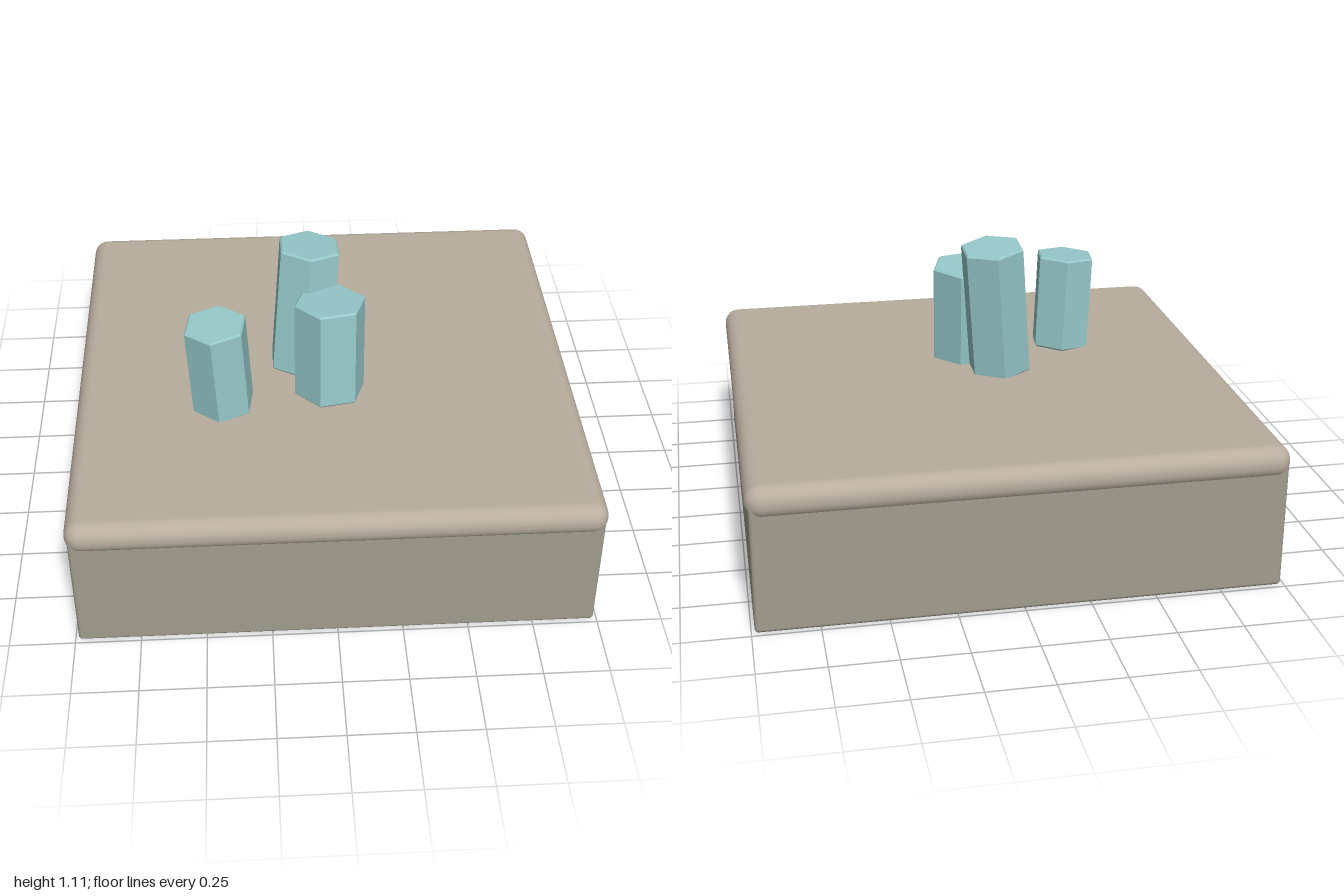
import * as THREE from 'three';
import { RoundedBoxGeometry } from 'three/addons/geometries/RoundedBoxGeometry.js';

const stone = new THREE.MeshStandardMaterial({ color: 0xa19c8d });
const capStone = new THREE.MeshStandardMaterial({ color: 0xb8ad9e });
const crystalMat = new THREE.MeshStandardMaterial({ color: 0x96c8ca, flatShading: true });

// Rounded square slab spanning the heights y0 to y1
function slab(name, width, y0, y1, radius, material) {
  const mesh = new THREE.Mesh(new RoundedBoxGeometry(width, y1 - y0, width, 5, radius), material);
  mesh.name = name;
  mesh.position.y = (y0 + y1) / 2;
  return mesh;
}

// Hexagonal prism with a fine chamfer, leaning from its foot to its tip
function crystal(name, foot, tip, radius, twist) {
  const a = new THREE.Vector3(...foot);
  const axis = new THREE.Vector3(...tip).sub(a);
  const h = axis.length();
  const c = 0.007;
  const profile = [[0, 0], [radius - c, 0], [radius, c], [radius, h - c], [radius - c, h], [0, h]]
    .map(([x, y]) => new THREE.Vector2(x, y));
  const geometry = new THREE.LatheGeometry(profile, 6);
  geometry.rotateY(THREE.MathUtils.degToRad(twist));
  const mesh = new THREE.Mesh(geometry, crystalMat);
  mesh.name = name;
  mesh.position.copy(a);
  mesh.quaternion.setFromUnitVectors(new THREE.Vector3(0, 1, 0), axis.normalize());
  return mesh;
}

export function createModel() {
  const group = new THREE.Group();
  group.name = 'crystalTile';

  // Stone block and its overhanging rounded cap
  group.add(slab('base', 1.975, 0, 0.5, 0.015, stone));
  group.add(slab('cap', 2, 0.44, 0.565, 0.06, capStone));

  // Three leaning crystals
  group.add(crystal('tallCrystal', [-0.097, 0.565, 0.015], [-0.055, 1.1, -0.031], 0.132, 0));
  group.add(crystal('frontCrystal', [0.012, 0.56, 0.205], [0.015, 0.97, 0.17], 0.143, 42));
  group.add(crystal('rightCrystal', [-0.413, 0.56, 0.272], [-0.433, 0.955, 0.283], 0.127, -8));

  return group;
}
